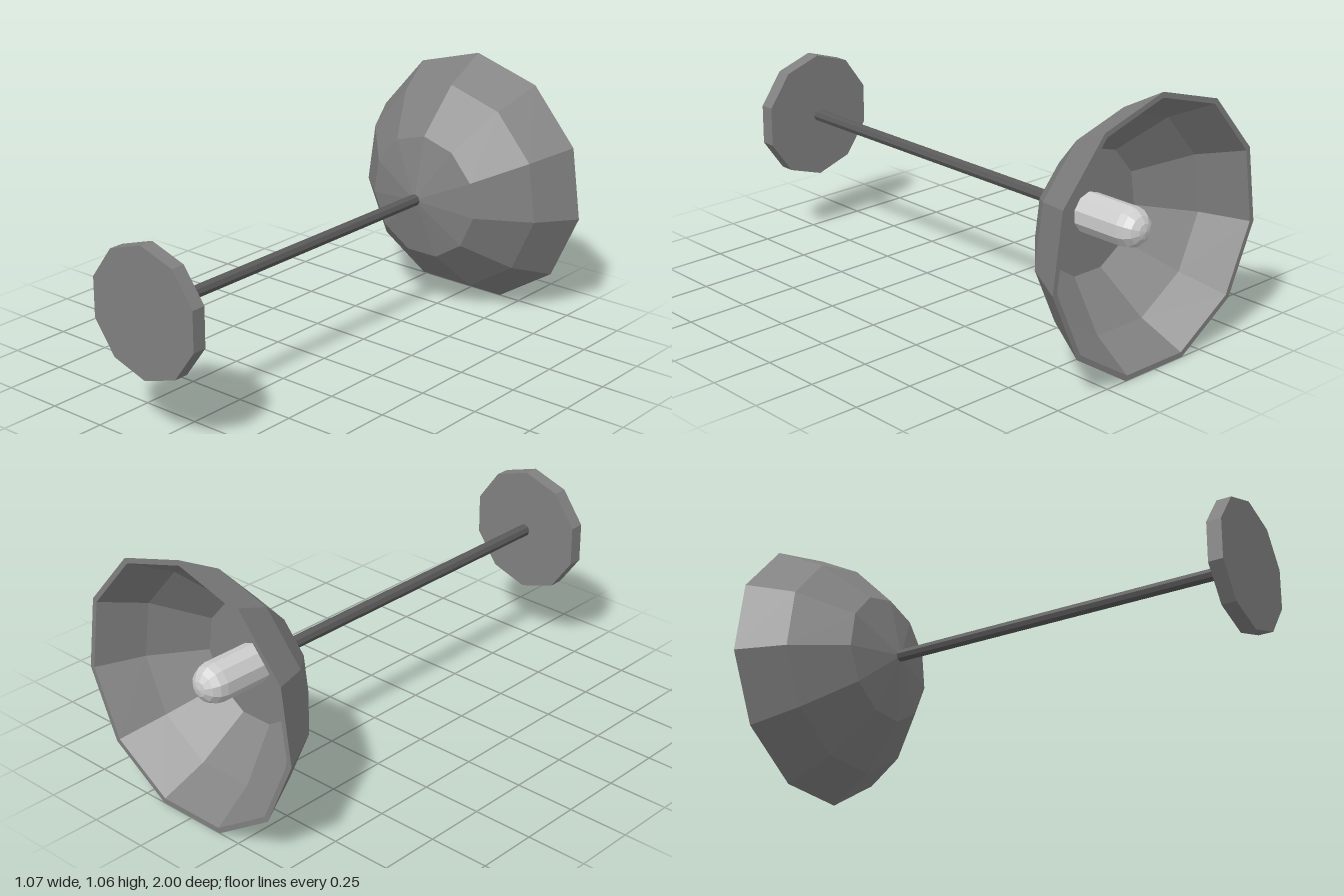
import * as THREE from 'three';

const AXIS_Y = 0.52;

// Revolves [radius, z] points around the lamp's long axis, listed from front to back on outer faces.
function revolve(name, points, sides, color) {
  const profile = points.map(([r, z]) => new THREE.Vector2(r, -z));
  const geometry = new THREE.LatheGeometry(profile, sides);
  geometry.rotateX(-Math.PI / 2);
  const material = new THREE.MeshStandardMaterial({ color, flatShading: true });
  const mesh = new THREE.Mesh(geometry, material);
  mesh.name = name;
  mesh.position.y = AXIS_Y;
  return mesh;
}

export function createModel() {
  const lamp = new THREE.Group();
  lamp.name = 'pendantLamp';

  // Ceiling plate
  lamp.add(revolve('ceilingPlate', [[0, 1], [0.263, 1], [0.263, 0.94], [0, 0.94]], 10, 0x808080));

  // Hanging rod
  lamp.add(revolve('rod', [[0, 0.95], [0.025, 0.95], [0.025, -0.6], [0, -0.6]], 8, 0x5a5a5a));

  // Shade: faceted outer shell, thin rim, inner shell and flat floor
  lamp.add(revolve('shade', [
    [0, -0.573], [0.262, -0.635], [0.443, -0.815], [0.5415, -1],
    [0.52, -1], [0.425, -0.825], [0.25, -0.655], [0, -0.655],
  ], 11, 0x808080));

  // Bulb: straight neck with a rounded tip
  const bulb = [[0, -0.645], [0.08, -0.645]];
  const steps = 4, r = 0.08;
  for (let i = 0; i <= steps; i++) {
    const a = (i / steps) * Math.PI / 2;
    bulb.push([i === steps ? 0 : r * Math.cos(a), -0.86 - r * Math.sin(a)]);
  }
  lamp.add(revolve('bulb', bulb, 10, 0xcccccc));

  return lamp;
}
